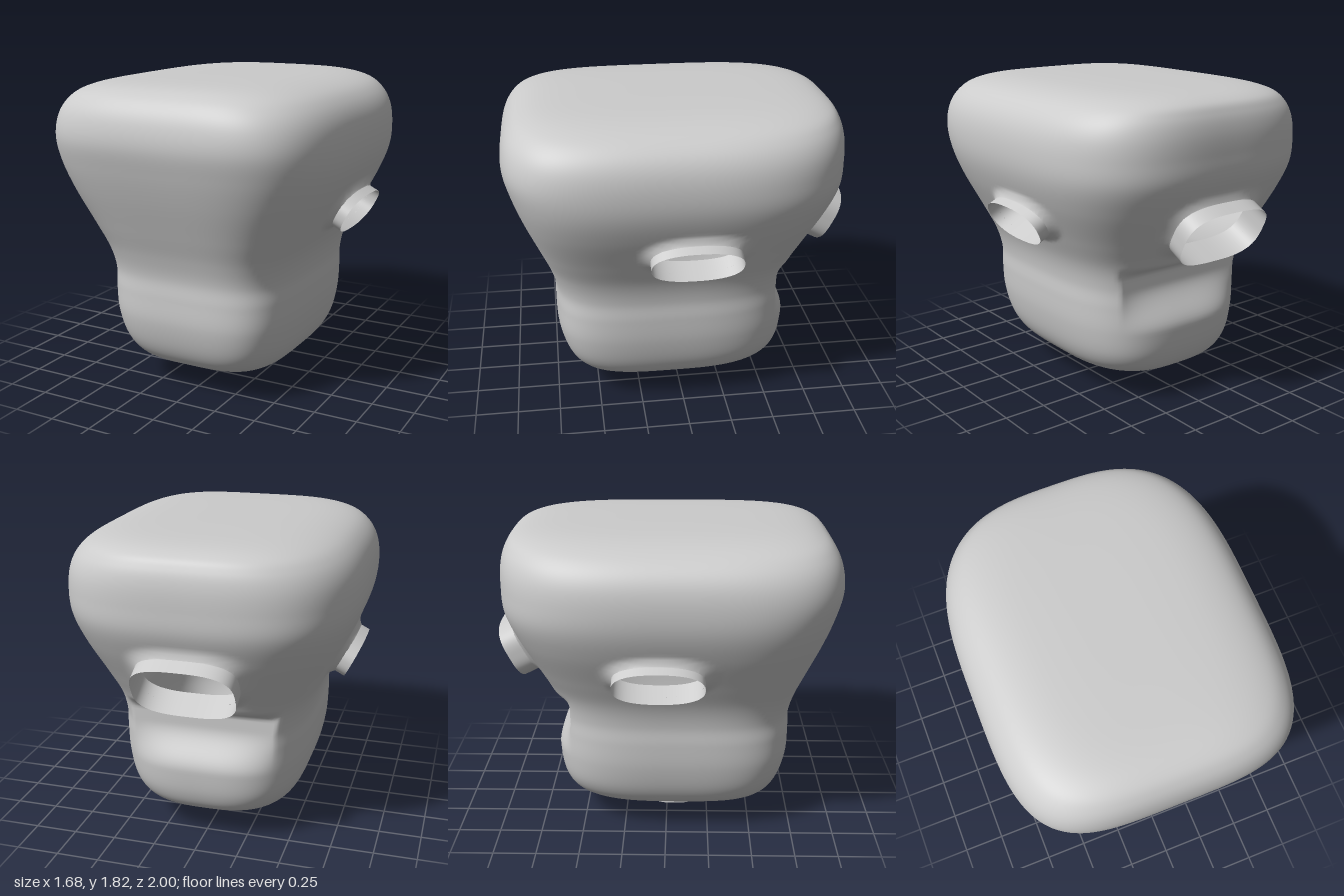
import * as THREE from 'three';
import { mergeVertices } from 'three/addons/utils/BufferGeometryUtils.js';

const AROUND = 200, ROWS = 168;

// Body sections: height, half width, front z, back z, squareness
const SECTIONS = [
  [0, 0.155, 0.2, -0.14, 2.9], [0.06, 0.155, 0.2, -0.14, 2.9], [0.09, 0.165, 0.21, -0.15, 2.9],
  [0.115, 0.2, 0.25, -0.19, 3], [0.13, 0.29, 0.42, -0.37, 3.2], [0.15, 0.39, 0.55, -0.5, 3.5],
  [0.2, 0.465, 0.63, -0.59, 3.8], [0.3, 0.52, 0.69, -0.64, 4], [0.45, 0.555, 0.73, -0.66, 4],
  [0.6, 0.565, 0.735, -0.66, 4], [0.72, 0.565, 0.735, -0.665, 4], [0.85, 0.595, 0.77, -0.695, 4],
  [1.0, 0.665, 0.83, -0.77, 4], [1.2, 0.765, 0.91, -0.875, 4], [1.36, 0.822, 0.965, -0.94, 4],
  [1.5, 0.835, 1.0, -0.95, 4], [1.62, 0.815, 0.99, -0.945, 4], [1.71, 0.76, 0.95, -0.92, 4],
  [1.77, 0.67, 0.88, -0.87, 4], [1.805, 0.52, 0.74, -0.74, 4], [1.818, 0.3, 0.46, -0.48, 4],
  [1.82, 0, 0.01, 0, 4],
];

// Open ports: local x = long side, y = outward axis, z = short side, origin at the mouth
function makePort(name, centre, axis, along, ru, rv, power, depth) {
  const a = new THREE.Vector3(...axis).normalize();
  const u = new THREE.Vector3(...along);
  const matrix = new THREE.Matrix4().makeBasis(u, a, u.clone().cross(a)).setPosition(...centre);
  return { name, matrix, inverse: matrix.clone().invert(), ru, rv, power, depth };
}

const PORTS = [
  makePort('leftPort', [0.785, 1.05, -0.035], [0.89, -0.45, 0], [0, 0, 1], 0.255, 0.123, 2.4, 0.14),
  makePort('rightPort', [-0.785, 1.05, -0.035], [-0.89, -0.45, 0], [0, 0, 1], 0.255, 0.123, 2.4, 0.14),
  makePort('backPort', [0, 1.035, -0.92], [0, -0.46, -0.89], [1, 0, 0], 0.29, 0.175, 3, 0.17),
];

const norm = (x, y, n) => Math.pow(Math.abs(x) ** n + Math.abs(y) ** n, 1 / n);

// Smooth interpolation of one column of the section table
function sample(t, column) {
  const s = t * (SECTIONS.length - 1);
  const i = Math.min(Math.floor(s), SECTIONS.length - 2), f = s - i;
  const at = (k) => SECTIONS[THREE.MathUtils.clamp(k, 0, SECTIONS.length - 1)][column];
  const [p0, p1, p2, p3] = [at(i - 1), at(i), at(i + 1), at(i + 2)];
  return p1 + 0.5 * f * (p2 - p0 + f * (2 * p0 - 5 * p1 + 4 * p2 - p3 + f * (3 * (p1 - p2) + p3 - p0)));
}

// Cuts a port out of the skin: inner points move to the rim, nearby ones rise in a fillet
function shapeForPort(point, port) {
  const p = point.clone().applyMatrix4(port.inverse);
  if (Math.abs(p.y) > 0.35) return false;
  const rho = norm(p.x / port.ru, p.z / port.rv, port.power);
  const reach = 0.3;
  if (rho > 1 + reach) return false;
  const inside = rho < 1;
  if (inside) {
    p.x /= Math.max(rho, 0.01);
    p.z /= Math.max(rho, 0.01);
  }
  p.y += 0.03 * (1 - Math.max(rho - 1, 0) / reach) ** 2;
  point.copy(p.applyMatrix4(port.matrix));
  return inside;
}

function bodyGeometry() {
  const positions = [], index = [], holes = [];
  const p = new THREE.Vector3();
  const { smoothstep, lerp } = THREE.MathUtils;
  for (let j = 0; j <= ROWS; j++) {
    const [y, hx, zf, zb, n] = [0, 1, 2, 3, 4].map((c) => sample(j / ROWS, c));
    const mid = (zf + zb) / 2, hz = (zf - zb) / 2;
    // Finger groove across the back, with a steep upper edge
    const groove = smoothstep(y, 0.45, 0.7) * (1 - smoothstep(y, 0.78, 0.86));
    for (let i = 0; i < AROUND; i++) {
      const a = (i / AROUND) * Math.PI * 2;
      const c = Math.cos(a), s = Math.sin(a);
      const r = 1 / norm(c, s, s < 0 ? n - 0.8 : n);
      let z = mid + s * r * hz;
      z = lerp(z, Math.max(z, -0.56), groove);
      p.set(c * r * hx, y, z);
      let hole = 0;
      PORTS.forEach((port, k) => { if (shapeForPort(p, port)) hole = k + 1; });
      holes.push(hole);
      positions.push(p.x, p.y, p.z);
    }
  }
  const addFace = (a, b, c) => {
    if (holes[a] && holes[b] && holes[c]) return;
    index.push(a, b, c);
  };
  for (let j = 0; j < ROWS; j++) {
    for (let i = 0; i < AROUND; i++) {
      const a = j * AROUND + i, b = j * AROUND + ((i + 1) % AROUND);
      addFace(a, a + AROUND, b);
      addFace(b, a + AROUND, b + AROUND);
    }
  }
  const geometry = new THREE.BufferGeometry();
  geometry.setAttribute('position', new THREE.Float32BufferAttribute(positions, 3));
  geometry.setIndex(index);
  geometry.computeVertexNormals();
  return geometry;
}

// Thin open sleeve with a rounded oblong section
function portGeometry({ ru, rv, power, depth, matrix }) {
  let geometry = new THREE.CylinderGeometry(1, 1, depth, 96, 1, true);
  geometry.translate(0, -depth / 2, 0);
  const pos = geometry.attributes.position;
  for (let i = 0; i < pos.count; i++) {
    const x = pos.getX(i), z = pos.getZ(i), r = 1 / norm(x, z, power);
    pos.setXYZ(i, x * r * ru, pos.getY(i), z * r * rv);
  }
  geometry.deleteAttribute('uv');
  geometry.deleteAttribute('normal');
  geometry = mergeVertices(geometry);
  geometry.applyMatrix4(matrix);
  geometry.computeVertexNormals();
  return geometry;
}

export function createModel() {
  const group = new THREE.Group();
  const material = new THREE.MeshStandardMaterial({ color: 0xcccccc, side: THREE.DoubleSide });
  const add = (name, geometry) => {
    const mesh = new THREE.Mesh(geometry, material);
    mesh.name = name;
    group.add(mesh);
  };
  // Hollow body with its open bottom neck
  add('body', bodyGeometry());
  // Side and back openings
  PORTS.forEach((port) => add(port.name, portGeometry(port)));
  return group;
}
